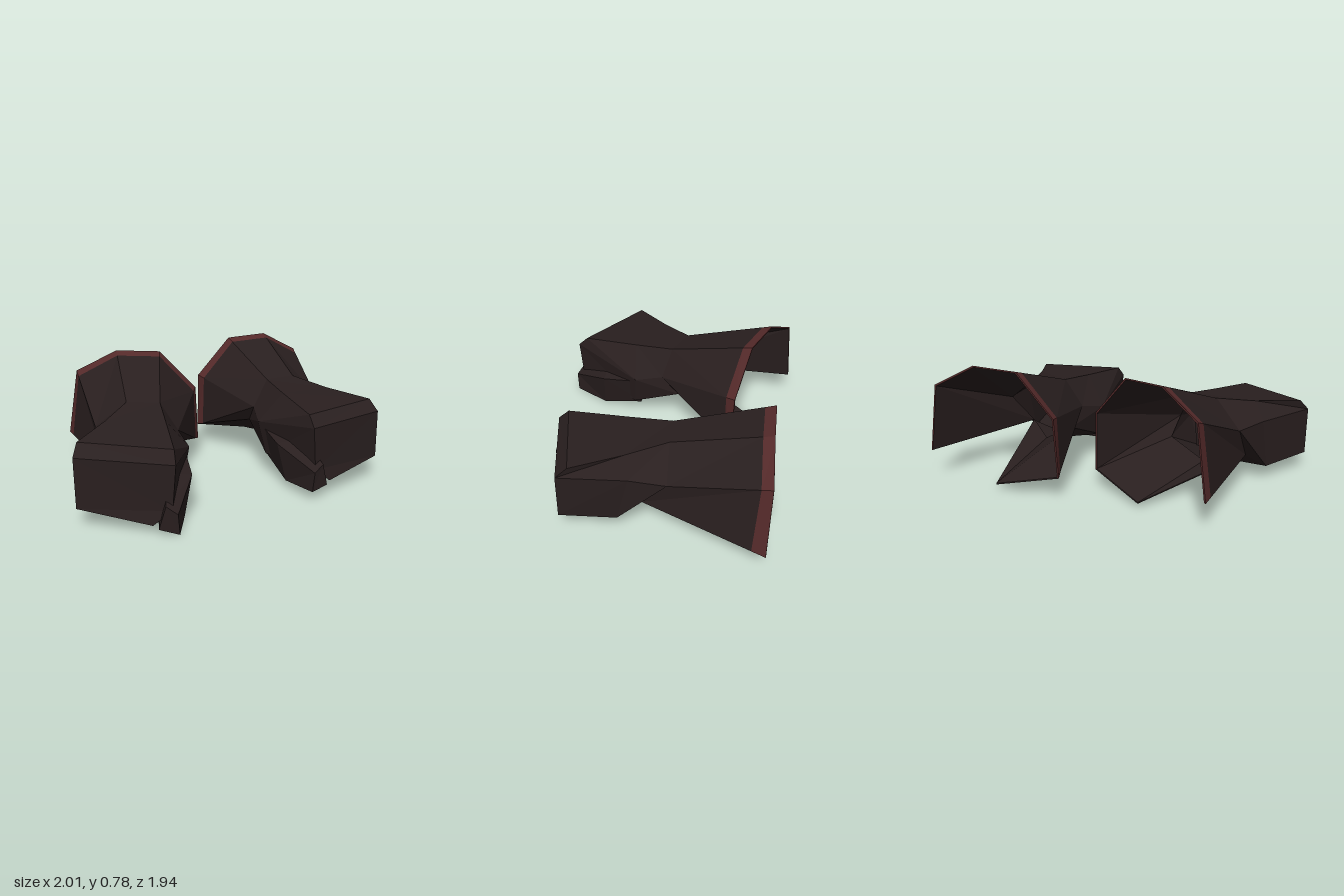
import * as THREE from 'three';

const leather = new THREE.MeshStandardMaterial({ color: 0x291f1f, side: THREE.DoubleSide });
leather.name = 'dark leather';
const trim = new THREE.MeshStandardMaterial({ color: 0x552a2a });
trim.name = 'red trim';

// Cross-sections run from the thumb side's lower edge, over the top, to the outer lower edge.
const RIM = [[-0.085, 0.12, -0.41], [-0.10, 0.50, -0.42], [-0.35, 0.765, -0.435],
  [-0.65, 0.775, -0.47], [-0.93, 0.63, -0.52], [-1.0, 0.18, -0.53]];
const TIP = [-0.5, 0.03, -0.50];
// Closed sections add a seventh point under the palm.
const WRIST = [[-0.315, 0.26, 0.08], [-0.30, 0.38, 0.20], [-0.41, 0.56, 0.17],
  [-0.62, 0.565, 0.14], [-0.82, 0.40, 0.10], [-0.77, 0.185, 0.27], [-0.55, 0.13, 0.12]];
const PALM = [[-0.30, 0.11, 0.42], [-0.255, 0.33, 0.39], [-0.405, 0.525, 0.45],
  [-0.76, 0.52, 0.38], [-0.85, 0.41, 0.33], [-0.85, 0.09, 0.40], [-0.55, 0.075, 0.38]];
const FIST = [[-0.42, 0.14, 0.92], [-0.40, 0.41, 0.93], [-0.40, 0.48, 0.86],
  [-0.93, 0.49, 0.67], [-0.955, 0.42, 0.74], [-0.95, 0.115, 0.74], [-0.53, 0.05, 0.90]];
// Thumb: lower inner, upper inner, upper outer, lower outer.
const THUMB = [
  [[-0.32, 0.10, 0.38], [-0.28, 0.30, 0.40], [-0.45, 0.33, 0.45], [-0.50, 0.08, 0.42]],
  [[-0.325, 0.005, 0.69], [-0.275, 0.25, 0.66], [-0.44, 0.28, 0.70], [-0.48, 0.03, 0.68]],
  [[-0.385, 0.01, 0.955], [-0.395, 0.135, 0.965], [-0.46, 0.18, 0.945], [-0.50, 0.035, 0.925]],
];

const lerp = (a, b, t) => a.map((v, i) => v + (b[i] - v) * t);

// Collects flat polygons, each split into a fan of triangles.
class Faces {
  constructor() { this.tris = []; }
  poly(...p) {
    for (let i = 1; i < p.length - 1; i++) this.tris.push([p[0], p[i], p[i + 1]]);
    return this;
  }
  // Panels between a rear and a front section
  skin(rear, front, closed) {
    const n = rear.length;
    for (let j = 0; j < (closed ? n : n - 1); j++) {
      const k = (j + 1) % n;
      this.poly(rear[j], rear[k], front[k], front[j]);
    }
    return this;
  }
  mesh(name, material, mirrored) {
    const out = [];
    for (const [a, b, c] of this.tris) {
      for (const p of mirrored ? [a, c, b] : [a, b, c]) out.push(mirrored ? -p[0] : p[0], p[1], p[2]);
    }
    const geo = new THREE.BufferGeometry();
    geo.setAttribute('position', new THREE.Float32BufferAttribute(out, 3));
    geo.computeVertexNormals();
    const m = new THREE.Mesh(geo, material);
    m.name = name;
    return m;
  }
}

function makeGauntlet(name, mirrored) {
  const g = new THREE.Group();
  g.name = name;
  const add = (part, faces, material = leather) => g.add(faces.mesh(part, material, mirrored));
  const wrist6 = WRIST.slice(0, 6);
  const band = RIM.map((p, i) => lerp(p, wrist6[i], 0.11));

  // Flared cuff with a tongue under the wrist, leaving a slit on the outer side
  const tongue = (f, r0, tip, w) => f.poly(r0, w[0], tip).poly(tip, w[0], w[6]).poly(tip, w[6], w[5]);
  add('cuff', new Faces().skin(band, wrist6));
  add('tongue', tongue(new Faces(), RIM[0], TIP, WRIST));
  add('cuffTrim', new Faces().skin(RIM, band), trim);

  // Inner lining, slightly inset and facing inwards; the hollow runs on into the hand
  const inset = (p) => lerp(p, [-0.55, 0.36, p[2]], 0.025);
  const rimIn = RIM.map(inset), wristIn = WRIST.map(inset);
  const lining = new Faces().skin(rimIn, wristIn.slice(0, 6));
  tongue(lining, rimIn[0], inset(TIP), wristIn);
  lining.tris = lining.tris.map(([a, b, c]) => [a, c, b]);
  add('cuffLining', lining);

  // Narrow edges joining lining and outside
  add('trimEdge', new Faces().skin(rimIn, RIM), trim);
  const loop = [RIM[5], WRIST[5], TIP, RIM[0]];
  add('slitEdge', new Faces().skin(loop.map(inset), loop));

  // Hand back, palm and blunt knuckle end
  add('hand', new Faces().skin(WRIST, PALM, true).skin(PALM, FIST, true));
  const [f0, f1, f2, f3, f4, f5, f6] = FIST;
  add('knuckles', new Faces().poly(f1, f2, f3, f4).poly(f0, f1, f4, f5, f6));

  // Thumb
  add('thumb', new Faces().skin(THUMB[0], THUMB[1], true).skin(THUMB[1], THUMB[2], true).poly(...THUMB[2]));
  return g;
}

export function createModel() {
  const model = new THREE.Group();
  model.name = 'gauntlets';
  const right = makeGauntlet('rightGauntlet', false);
  const left = makeGauntlet('leftGauntlet', true);
  left.rotation.set(-0.024, 0.171, 0, 'YXZ');
  left.position.set(-0.06, 0.026, -0.28);
  model.add(right, left);
  return model;
}
